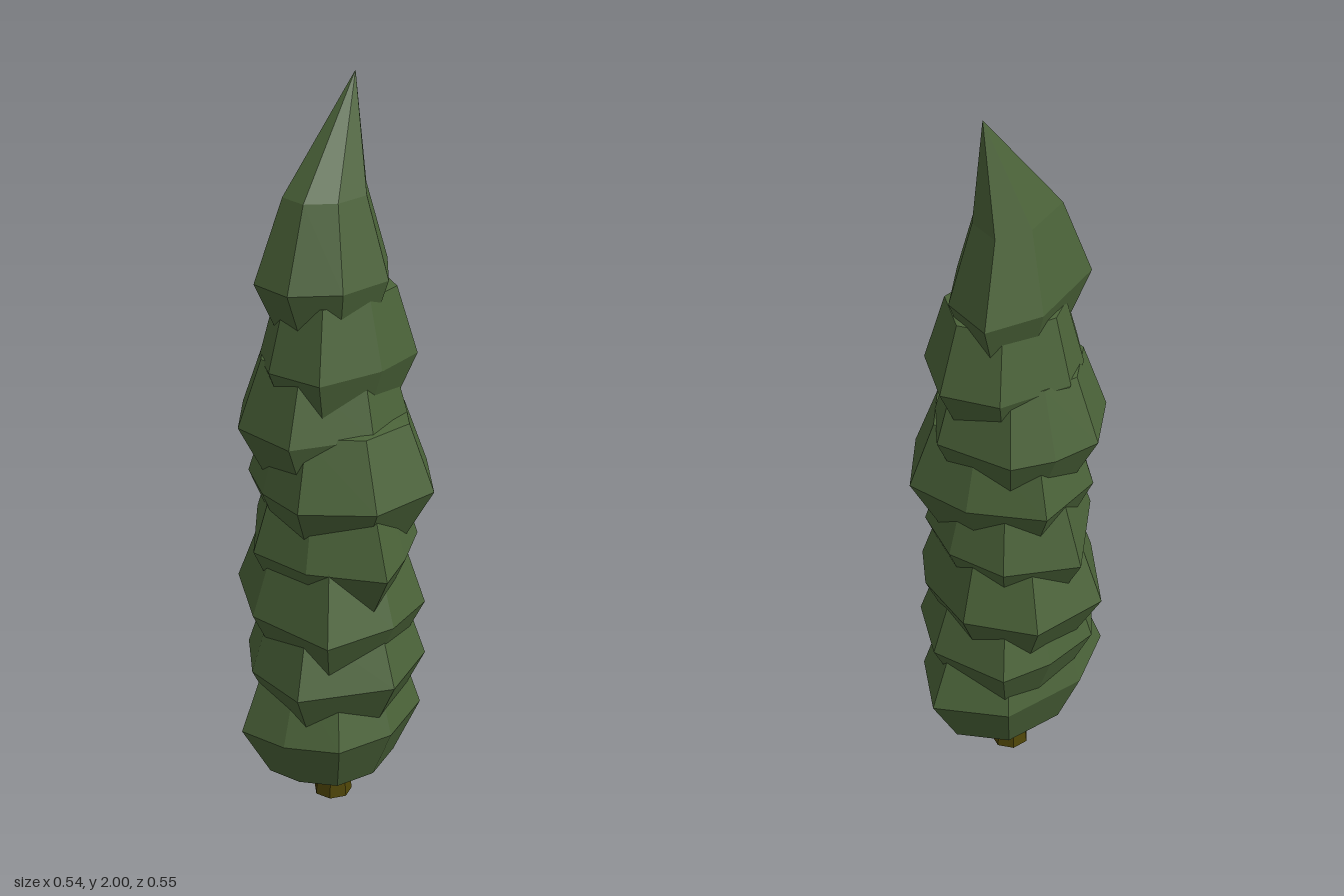
import * as THREE from 'three';

const AXIS_Z = -0.01;

const needles = new THREE.MeshStandardMaterial({ color: 0x4b6339 });
needles.name = 'needle green';
const bark = new THREE.MeshStandardMaterial({ color: 0x504608 });
bark.name = 'bark olive brown';

// Faceted skin through a stack of rings, listed from bottom to top
function loft(rings) {
  const positions = [];
  const addFace = (...corners) => {
    if (new THREE.Triangle(...corners).getArea() < 1e-8) return;
    corners.forEach((p) => positions.push(p.x, p.y, p.z));
  };
  for (let r = 0; r < rings.length - 1; r++) {
    const low = rings[r], high = rings[r + 1];
    for (let i = 0; i < low.length; i++) {
      const j = (i + 1) % low.length;
      addFace(low[i], high[i], high[j]);
      addFace(low[i], high[j], low[j]);
    }
  }
  const geometry = new THREE.BufferGeometry();
  geometry.setAttribute('position', new THREE.Float32BufferAttribute(positions, 3));
  geometry.computeVertexNormals();
  return geometry;
}

// Copy of an [x, z] outline, scaled about a centre and set at a height
function ringAt(outline, y, scale, cx = 0, cz = AXIS_Z) {
  return outline.map(([x, z]) =>
    new THREE.Vector3(cx + (x - cx) * scale, y, cz + (z - cz) * scale));
}

// Widest outline of each foliage tier, from the ground up
const tierOutlines = [
  [[0.27, -0.025], [0.18, 0.14], [0, 0.21], [-0.16, 0.18],
    [-0.245, 0.06], [-0.27, -0.075], [-0.11, -0.18], [0.13, -0.175]],
  [[0.245, 0], [0.165, 0.17], [-0.03, 0.25], [-0.255, 0.125],
    [-0.235, -0.07], [-0.13, -0.2], [0.03, -0.225], [0.17, -0.205]],
  [[0.21, 0.08], [0.14, 0.19], [-0.02, 0.235], [-0.22, 0.2],
    [-0.238, -0.06], [-0.11, -0.26], [0.105, -0.265], [0.228, -0.11]],
  [[0.21, -0.03], [0.17, 0.13], [0.04, 0.215], [-0.085, 0.275],
    [-0.2, 0.1], [-0.215, -0.08], [-0.025, -0.275], [0.155, -0.185]],
  [[0.247, 0.085], [0.12, 0.235], [-0.08, 0.232], [-0.218, 0.09],
    [-0.2, -0.06], [-0.13, -0.19], [0.06, -0.24], [0.2, -0.09]],
  [[0.22, 0], [0.14, 0.12], [-0.025, 0.163], [-0.225, 0.068],
    [-0.225, -0.12], [-0.1, -0.24], [0.03, -0.235], [0.14, -0.195]],
  [[0.23, -0.03], [0.16, 0.13], [0.01, 0.155], [-0.17, 0.12],
    [-0.2, -0.03], [-0.14, -0.13], [-0.05, -0.19], [0.145, -0.16]],
];

const crownOutline = [
  [0.17, 0.01], [0.055, 0.13], [-0.095, 0.125], [-0.2, 0.04],
  [-0.2, -0.08], [-0.125, -0.11], [0.02, -0.168], [0.175, -0.14],
];

export function createModel() {
  const tree = new THREE.Group();
  tree.name = 'coniferTree';

  function add(name, geometry, material) {
    const mesh = new THREE.Mesh(geometry, material);
    mesh.name = name;
    tree.add(mesh);
    return mesh;
  }

  // Trunk
  const trunkGeometry = new THREE.CylinderGeometry(0.04, 0.052, 0.14, 7).toNonIndexed();
  trunkGeometry.computeVertexNormals();
  add('trunk', trunkGeometry, bark).position.set(0, 0.07, -0.012);

  // Overlapping foliage tiers
  tierOutlines.forEach((outline, i) => {
    const y = 0.27 + i * 0.17;
    add('foliageTier' + (i + 1), loft([
      ringAt(outline, y - 0.21, 0),
      ringAt(outline, y - 0.148, 0.7),
      ringAt(outline, y, 1),
      ringAt(outline, y + 0.18, 0.75),
      ringAt(outline, y + 0.2, 0),
    ]), needles);
  });

  // Crown leaning to a sharp tip
  add('crown', loft([
    ringAt(crownOutline, 1.33, 0),
    ringAt(crownOutline, 1.37, 0.7),
    ringAt(crownOutline, 1.51, 1),
    ringAt(crownOutline, 1.72, 0.62, 0, -0.02),
    ringAt(crownOutline, 2, 0, 0.09, -0.025),
  ]), needles);

  return tree;
}
